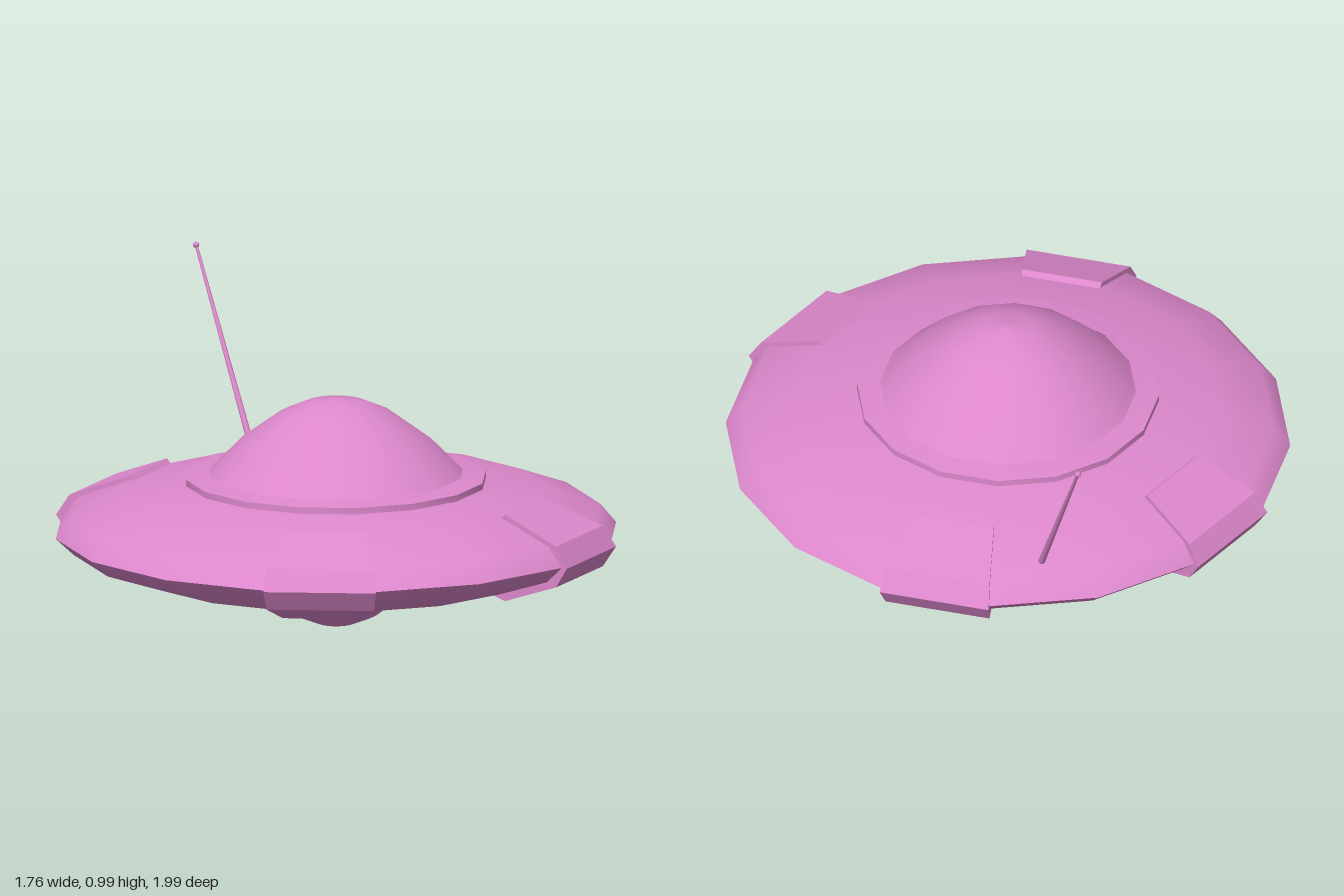
import * as THREE from 'three';
import { toCreasedNormals } from 'three/addons/utils/BufferGeometryUtils.js';

const SIDES = 16;
const STEP = (Math.PI * 2) / SIDES;

export function createModel() {
  const model = new THREE.Group();
  const paint = new THREE.MeshStandardMaterial({ color: 0xdd88cc, side: THREE.DoubleSide });

  const add = (parent, name, geometry) => {
    const mesh = new THREE.Mesh(geometry, paint);
    mesh.name = name;
    parent.add(mesh);
    return mesh;
  };
  const points = (list) => list.map(([r, y]) => new THREE.Vector2(r, y));
  // sixteen-sided turned shape, profile from bottom to top
  const turned = (profile, crease) => {
    const g = new THREE.LatheGeometry(points(profile), SIDES);
    return crease ? toCreasedNormals(g, crease) : g;
  };

  const saucer = new THREE.Group();
  saucer.name = 'saucer';
  saucer.position.z = 0.113;
  model.add(saucer);

  // hull, split at the sharp rim
  add(saucer, 'lowerHull', turned([[0.2, 0.1], [0.42, 0.142], [0.64, 0.183], [0.825, 0.247], [0.882, 0.3]]));
  add(saucer, 'upperHull', turned([[0.882, 0.3], [0.832, 0.36], [0.66, 0.424], [0.45, 0.457]]));

  // collar and cockpit dome
  add(saucer, 'collar', turned([[0.44, 0.457], [0.472, 0.457], [0.472, 0.477], [0.4, 0.487]], 0.6));
  add(saucer, 'dome', turned([
    [0.41, 0.475], [0.385, 0.498], [0.3, 0.585], [0.18, 0.673], [0.09, 0.712], [0, 0.724],
  ]));

  // rounded bulge under the hull
  add(saucer, 'bellyDome', turned([
    [0, 0], [0.06, 0.007], [0.13, 0.036], [0.19, 0.083], [0.22, 0.104],
  ]));

  // four raised plates wrapped over the rim, each one hull side wide
  const plateShape = new THREE.Shape(points([
    [0.6, 0.18], [0.66, 0.164], [0.86, 0.235], [0.902, 0.3], [0.86, 0.365], [0.66, 0.441], [0.64, 0.42],
  ]));
  [2, 7, 10, 15].forEach((side) => {
    const g = new THREE.ExtrudeGeometry(plateShape, { depth: 1, bevelEnabled: false });
    const p = g.attributes.position;
    for (let i = 0; i < p.count; i++) {
      const r = p.getX(i);
      const angle = (side - p.getZ(i)) * STEP;
      p.setXYZ(i, r * Math.sin(angle), p.getY(i), r * Math.cos(angle));
    }
    g.computeVertexNormals();
    add(saucer, 'rimPlate', g);
  });

  // slanted antenna with a small ball tip
  const antenna = new THREE.Group();
  antenna.name = 'antenna';
  const base = new THREE.Vector3(0.142, 0.38, -0.635);
  const tip = new THREE.Vector3(0.142, 0.982, -0.99);
  const direction = tip.clone().sub(base);
  const rod = add(antenna, 'antennaRod', new THREE.CylinderGeometry(0.005, 0.011, direction.length(), 8));
  rod.position.copy(base).lerp(tip, 0.5);
  rod.quaternion.setFromUnitVectors(new THREE.Vector3(0, 1, 0), direction.normalize());
  add(antenna, 'antennaTip', new THREE.SphereGeometry(0.01, 10, 8)).position.copy(tip);
  model.add(antenna);

  return model;
}
